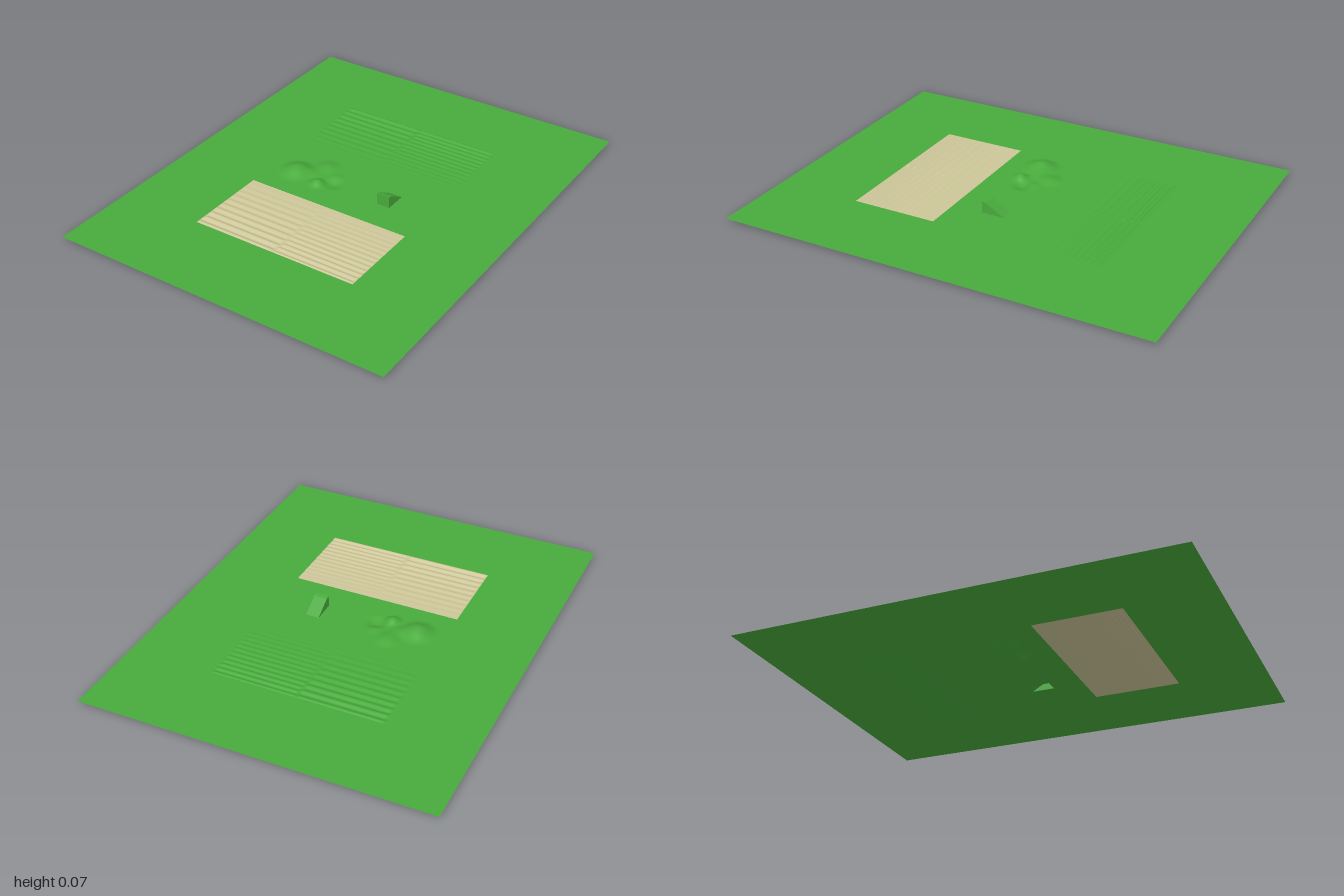
import * as THREE from 'three';

const GROUND_Y = 0.033;

const grass = new THREE.MeshStandardMaterial({ color: 0x48aa3c, side: THREE.DoubleSide });
grass.name = 'grass green';
const sand = new THREE.MeshStandardMaterial({ color: 0xcdc699, side: THREE.DoubleSide });
sand.name = 'sand';

const steps = (a, b, n) => Array.from({ length: n + 1 }, (_, i) => a + ((b - a) * i) / n);

// Grid patch over the given x and z lines, raised by a height rule
function patch(name, xs, zs, height, material) {
  const pos = [], index = [], w = xs.length;
  for (const z of zs) for (const x of xs) pos.push(x, GROUND_Y + height(x, z), z);
  for (let j = 0; j < zs.length - 1; j++) {
    for (let i = 0; i < w - 1; i++) {
      const a = j * w + i, b = a + w;
      index.push(a, b, a + 1, a + 1, b, b + 1);
    }
  }
  const geo = new THREE.BufferGeometry();
  geo.setAttribute('position', new THREE.Float32BufferAttribute(pos, 3));
  geo.setIndex(index);
  geo.computeVertexNormals();
  const mesh = new THREE.Mesh(geo, material);
  mesh.name = name;
  return mesh;
}

// Flat rectangle with a rectangular hole; bounds are [x0, x1, z0, z1]
function frame(name, outer, hole, material) {
  const corners = ([x0, x1, z0, z1]) =>
    [[x0, -z1], [x1, -z1], [x1, -z0], [x0, -z0]].map(([x, y]) => new THREE.Vector2(x, y));
  const shape = new THREE.Shape(corners(outer));
  shape.holes.push(new THREE.Path(corners(hole).reverse()));
  const geo = new THREE.ShapeGeometry(shape).rotateX(-Math.PI / 2).translate(0, GROUND_Y, 0);
  const mesh = new THREE.Mesh(geo, material);
  mesh.name = name;
  return mesh;
}

// Ridges along x: wide on one half, fine on the other, growing outwards
function ripple(x, z) {
  const ax = Math.abs(x);
  if (ax < 0.012 || ax > 0.388) return 0;
  const u = 0.6 - Math.abs(z);
  const [count, amp] = x < 0 ? [10, 0.004] : [13, 0.003];
  return amp * (1 - u / 0.4) * Math.sin((2 * Math.PI * count * u) / 0.4);
}

// Mounds and hollows: x, z, radius, height
const bumps = [
  [-0.28, 0.03, 0.1, 0.032],
  [-0.145, 0.065, 0.05, 0.02],
  [-0.18, -0.07, 0.075, 0.013],
  [-0.2, 0.0, 0.06, 0.007],
  [-0.08, 0.025, 0.06, -0.012],
  [-0.1, -0.02, 0.05, 0.005],
];
function mounds(x, z) {
  let h = 0;
  for (const [cx, cz, r, amp] of bumps) {
    const d = Math.hypot(x - cx, z - cz) / r;
    if (d < 1) h += amp * (0.5 + 0.5 * Math.cos(Math.PI * d));
  }
  return h;
}

// Wedge open underneath: stepped slope, upright front and two sides
function makeRamp(x0, x1) {
  const profile = [[0.055, GROUND_Y], [0.055, 0.088], [0.035, 0.083], [-0.05, GROUND_Y]];
  const pos = [];
  const add = (x, [z, y]) => pos.push(x, y, z);
  for (let i = 0; i < 3; i++) {
    const p = profile[i], q = profile[i + 1];
    add(x0, p); add(x1, p); add(x1, q);
    add(x0, p); add(x1, q); add(x0, q);
  }
  for (let i = 1; i < 3; i++) {
    add(x1, profile[0]); add(x1, profile[i + 1]); add(x1, profile[i]);
    add(x0, profile[0]); add(x0, profile[i]); add(x0, profile[i + 1]);
  }
  const geo = new THREE.BufferGeometry();
  geo.setAttribute('position', new THREE.Float32BufferAttribute(pos, 3));
  geo.computeVertexNormals();
  const mesh = new THREE.Mesh(geo, grass);
  mesh.name = 'ramp';
  return mesh;
}

export function createModel() {
  const group = new THREE.Group();
  group.name = 'terrain';

  const xLines = [-0.4, -0.385, -0.2, -0.015, 0, 0.015, 0.2, 0.385, 0.4];
  group.add(
    // Flat outer field
    frame('field', [-0.8, 0.8, -1, 1], [-0.4, 0.4, -0.6, 0.6], grass),
    // Rippled strips at both ends
    patch('grassRipples', xLines, steps(-0.6, -0.2, 160), ripple, grass),
    patch('sandRipples', xLines, steps(0.2, 0.6, 160), ripple, sand),
    // Middle band with mounds and ramp
    patch('mounds', steps(-0.4, 0, 60), steps(-0.2, 0.2, 60), mounds, grass),
    frame('rampField', [0, 0.4, -0.2, 0.2], [0.168, 0.23, -0.05, 0.055], grass),
    makeRamp(0.168, 0.23),
  );
  return group;
}
